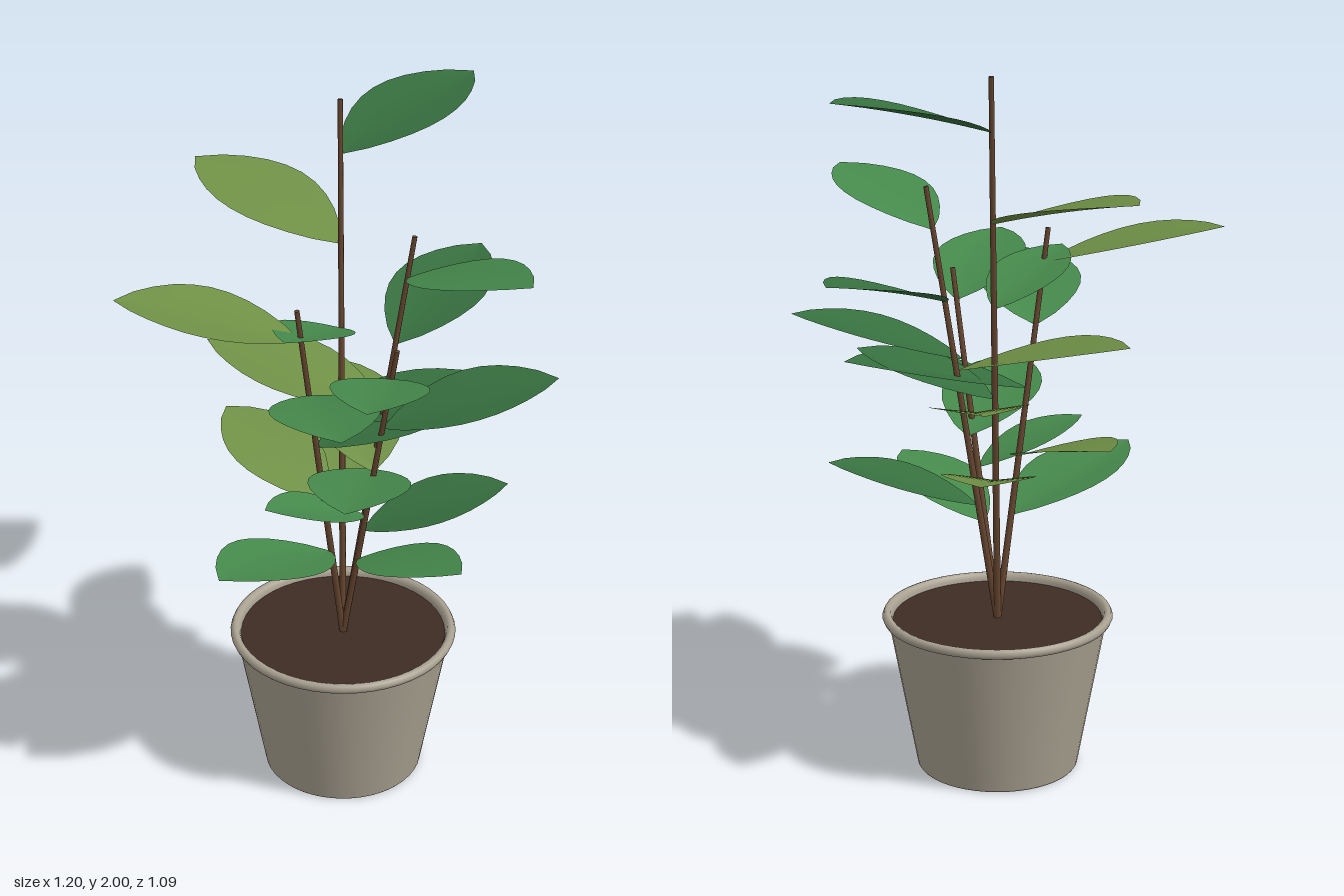
import * as THREE from 'three';

const mat = (color, side = THREE.FrontSide) => new THREE.MeshStandardMaterial({ color, side });
const BASE = new THREE.Vector3(0.02, 0.43, -0.035);

// Pointed oval blade running from base to tip: arched along its length, edges raised above the midrib
function leafGeometry(base, tip) {
  const rows = 10, cols = 4, pos = [], index = [];
  const run = new THREE.Vector3(tip.x - base.x, 0, tip.z - base.z);
  const length = run.length(), rise = tip.y - base.y;
  const across = new THREE.Vector3(run.z, 0, -run.x).normalize();
  for (let i = 0; i <= rows; i++) {
    const t = i / rows;
    const half = 0.305 * length * Math.pow(Math.max(0, Math.sin(Math.PI * t)), 0.8);
    const y = base.y + rise * (1.25 * t - 0.25 * t * t);
    for (let j = 0; j <= cols; j++) {
      const s = (j / cols) * 2 - 1;
      const p = base.clone().addScaledVector(run, t).addScaledVector(across, s * half);
      pos.push(p.x, y + 0.13 * half * Math.abs(s), p.z);
      if (i < rows && j < cols) {
        const a = i * (cols + 1) + j, b = a + cols + 1;
        index.push(a, a + 1, b, a + 1, b + 1, b);
      }
    }
  }
  const g = new THREE.BufferGeometry();
  g.setAttribute('position', new THREE.Float32BufferAttribute(pos, 3));
  g.setIndex(index);
  g.computeVertexNormals();
  return g;
}

function stemMesh(top, material) {
  const dir = top.clone().sub(BASE);
  const stem = new THREE.Mesh(new THREE.CylinderGeometry(0.007, 0.01, dir.length(), 8), material);
  stem.position.copy(BASE).addScaledVector(dir, 0.5);
  stem.quaternion.setFromUnitVectors(new THREE.Vector3(0, 1, 0), dir.normalize());
  stem.name = 'stem';
  return stem;
}

// Each stem: its top, then leaves as [height on stem, tip x, tip y, tip z, colour]
const STEMS = [
  { top: [0.034, 2.0, -0.225], leaves: [
    [1.85, 0.437, 1.97, -0.47, 'dark'],
    [1.60, -0.338, 1.725, -0.54, 'olive'],
    [1.36, -0.16, 1.475, 0.155, 'green'],
    [1.10, 0.41, 1.21, 0.02, 'dark'],
    [0.86, 0.06, 0.975, -0.507, 'olive'],
  ] },
  { top: [0.212, 1.675, -0.037], leaves: [
    [1.555, 0.466, 1.675, 0.315, 'green'],
    [1.355, 0.46, 1.48, -0.395, 'dark'],
    [1.16, -0.335, 1.285, -0.27, 'olive'],
    [0.97, -0.03, 1.09, 0.405, 'green'],
    [0.77, 0.49, 0.895, -0.035, 'dark'],
  ] },
  { top: [-0.12, 1.535, 0.09], leaves: [
    [1.44, -0.6, 1.555, 0.008, 'olive'],
    [1.265, -0.056, 1.38, 0.54, 'green'],
    [1.09, 0.437, 1.205, -0.11, 'dark'],
    [0.90, -0.28, 1.025, -0.355, 'olive'],
    [0.73, -0.36, 0.855, 0.317, 'green'],
  ] },
  { top: [0.145, 1.415, 0.12], leaves: [
    [1.325, 0.011, 1.445, 0.517, 'green'],
    [1.16, 0.595, 1.29, 0.09, 'dark'],
    [1.01, 0.05, 1.135, -0.4, 'olive'],
    [0.86, -0.22, 0.975, 0.165, 'green'],
    [0.705, 0.3, 0.825, 0.317, 'green'],
  ] },
];

export function createModel() {
  const model = new THREE.Group();
  model.name = 'pottedPlant';

  // Pot with rolled rim
  const profile = [[0, 0], [0.225, 0], [0.225, 0], [0.229, 0.005], [0.229, 0.005], [0.308, 0.435],
    [0.308, 0.435], [0.321, 0.436], [0.326, 0.447], [0.321, 0.458], [0.312, 0.461],
    [0.302, 0.457], [0.297, 0.445], [0.292, 0.41]];
  const pot = new THREE.Mesh(
    new THREE.LatheGeometry(profile.map(([x, y]) => new THREE.Vector2(x, y)), 48),
    mat(0xaaa292, THREE.DoubleSide));
  pot.position.set(BASE.x, 0, BASE.z);
  pot.name = 'pot';
  model.add(pot);

  // Soil
  const soil = new THREE.Mesh(new THREE.CylinderGeometry(0.295, 0.292, 0.02, 48), mat(0x3f2c24));
  soil.position.set(BASE.x, 0.428, BASE.z);
  soil.name = 'soil';
  model.add(soil);

  // Stems with their leaves
  const bark = mat(0x65452f);
  const colours = {
    green: mat(0x468a4c, THREE.DoubleSide),
    dark: mat(0x37703f, THREE.DoubleSide),
    olive: mat(0x6f9046, THREE.DoubleSide),
  };
  for (const { top, leaves } of STEMS) {
    const branch = new THREE.Group();
    branch.name = 'branch';
    const end = new THREE.Vector3(...top);
    branch.add(stemMesh(end, bark));
    for (const [h, x, y, z, colour] of leaves) {
      const joint = BASE.clone().lerp(end, (h - BASE.y) / (end.y - BASE.y));
      const leaf = new THREE.Mesh(leafGeometry(joint, new THREE.Vector3(x, y, z)), colours[colour]);
      leaf.name = 'leaf';
      branch.add(leaf);
    }
    model.add(branch);
  }
  return model;
}
